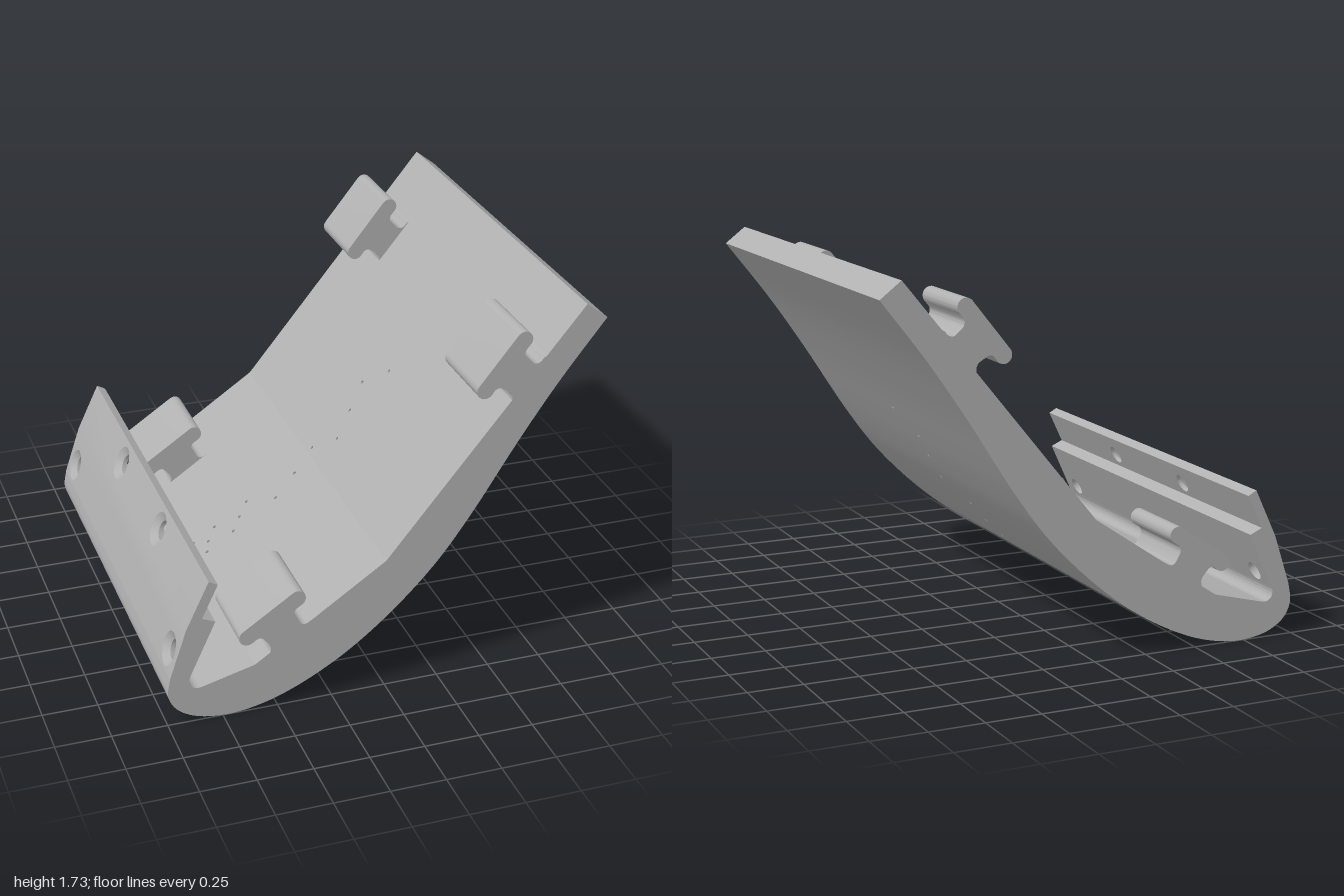
import * as THREE from 'three';
import { mergeGeometries, toCreasedNormals } from 'three/addons/utils/BufferGeometryUtils.js';

const V2 = (p) => new THREE.Vector2(p[0], p[1]);

// Circle of n points in a wall's own (s, z) plane
function circle(s, z, r, n, flip = 1) {
  return Array.from({ length: n }, (_, i) => {
    const t = (i / n) * Math.PI * 2;
    return new THREE.Vector2(s + flip * r * Math.cos(t), z + r * Math.sin(t));
  });
}

// Point on a wall: s runs along the profile edge, z along the width
const onWall = (w, s, z, depth = 0) => new THREE.Vector3(
  w.a.x + w.d.x * s - w.d.y * depth, w.a.y + w.d.y * s + w.d.x * depth, z);

// Nearest wall to p with room for a hole of radius r
function nearest(walls, p, r) {
  let best = null;
  for (const w of walls) {
    const m = r + 0.002;
    if (w.len < 2 * m) continue;
    const s = THREE.MathUtils.clamp(p.clone().sub(w.a).dot(w.d), m, w.len - m);
    const dist = w.a.clone().addScaledVector(w.d, s).distanceTo(p);
    if (!best || dist < best.dist) best = { w, s, dist };
  }
  return best;
}

// Inside wall of a hole, through successive rings
function boreGeometry(rings) {
  const pts = [];
  for (let k = 0; k + 1 < rings.length; k++) {
    const A = rings[k], B = rings[k + 1], n = A.length;
    for (let i = 0; i < n; i++) {
      const j = (i + 1) % n;
      pts.push(A[i], A[j], B[i], A[j], B[j], B[i]);
    }
  }
  return new THREE.BufferGeometry().setFromPoints(pts);
}

function bare(geometry) {
  const g = geometry.index ? geometry.toNonIndexed() : geometry;
  g.deleteAttribute('uv');
  g.deleteAttribute('normal');
  return g;
}

function cradleGeometry() {
  // Outer side: two lip facets, then a smooth sweep under and up the back
  const lip = [[-0.8, 0.686], [-0.905, 0.465]].map(V2);
  const sweep = new THREE.CatmullRomCurve3([
    [-0.982, 0.235], [-0.993, 0.15], [-0.962, 0.08], [-0.88, 0.025], [-0.733, 0], [-0.574, 0.021],
    [-0.415, 0.077], [-0.204, 0.193], [0.008, 0.357], [0.22, 0.57], [0.378, 0.78], [0.6, 1.124],
    [0.775, 1.378], [0.987, 1.653],
  ].map(([x, y]) => new THREE.Vector3(x, y, 0)), false, 'centripetal').getPoints(13 * 6);
  const outer = [...lip, ...sweep.map((p) => new THREE.Vector2(p.x, p.y))];

  // Inner side: plate, bend, floor, rounded corner and stepped lip
  const floor = [[0.89, 1.728], [0, 0.638], [-0.6, 0.23], [-0.84, 0.167]].map(V2);
  const corner = new THREE.CubicBezierCurve(
    V2([-0.84, 0.167]), V2([-0.885, 0.155]), V2([-0.91, 0.19]), V2([-0.892, 0.23])).getPoints(8).slice(1);
  const step = [[-0.775, 0.484], [-0.833, 0.51], [-0.76, 0.664]].map(V2);
  const profile = [...outer, ...floor, ...corner, ...step];

  const walls = profile.map((a, i) => {
    const b = profile[(i + 1) % profile.length];
    return { a, d: b.clone().sub(a).normalize(), len: a.distanceTo(b), holes: [] };
  });
  const outerWalls = walls.slice(0, outer.length - 1);
  const innerWalls = walls.slice(outer.length, -1);
  const parts = [];

  // Hole from the outer side to the inner side, optionally countersunk
  function drill(p, z, r, n, rim = r) {
    const o = nearest(outerWalls, p, rim), e = nearest(innerWalls, p, r);
    const start = circle(o.s, z, rim, n), end = circle(e.s, z, r, n, -1);
    o.w.holes.push(start);
    e.w.holes.push(end);
    const rings = [start.map((q) => onWall(o.w, q.x, q.y))];
    if (rim > r) rings.push(circle(o.s, z, r, n).map((q) => onWall(o.w, q.x, q.y, 0.025)));
    rings.push(end.map((q) => onWall(e.w, q.x, q.y)));
    parts.push(boreGeometry(rings));
  }

  // Four countersunk screw holes in the lip
  for (const side of [-1, 1]) {
    drill(V2([-0.845, 0.591]), side * 0.334, 0.045, 24, 0.08);
    drill(V2([-0.954, 0.318]), side * 0.889, 0.045, 24, 0.078);
  }

  // Three staggered rows of pinholes
  const rows = [
    [-0.065, [-0.67, -0.575, -0.47, -0.31, 0.02, 0.27]],
    [0, [-0.75, -0.605, -0.52, -0.365, -0.09, 0.185]],
    [0.065, [-0.635, -0.545, -0.415, -0.205, 0.1, 0.355]],
  ];
  for (const [z, xs] of rows) for (const x of xs) {
    const k = floor.findIndex((p) => p.x <= x);
    const a = floor[k], b = floor[k - 1];
    drill(a.clone().lerp(b, (x - a.x) / (b.x - a.x)), z, 0.009, 8);
  }

  // Walls along the profile
  for (const w of walls) {
    const shape = new THREE.Shape([[0, -1], [w.len, -1], [w.len, 1], [0, 1]].map(V2));
    shape.holes = w.holes.map((h) => new THREE.Path(h));
    const g = new THREE.ShapeGeometry(shape);
    const pos = g.attributes.position;
    for (let i = 0; i < pos.count; i++) {
      const v = onWall(w, pos.getX(i), pos.getY(i));
      pos.setXYZ(i, v.x, v.y, v.z);
    }
    parts.push(g);
  }

  // Flat ends
  const end = new THREE.ShapeGeometry(new THREE.Shape(profile));
  parts.push(end.clone().translate(0, 0, 1), end.clone().rotateY(Math.PI).scale(1, 1, 1));
  const back = parts[parts.length - 1].attributes.position;
  const front = end.toNonIndexed().attributes.position;
  const flipped = [];
  for (let i = 0; i < front.count; i += 3) for (const k of [0, 2, 1]) {
    flipped.push(new THREE.Vector3(front.getX(i + k), front.getY(i + k), -1));
  }
  if (back) parts[parts.length - 1] = new THREE.BufferGeometry().setFromPoints(flipped);

  return toCreasedNormals(mergeGeometries(parts.map(bare)), 0.2);
}

// T-shaped hook with rounded ends, its origin at the lower tip
function hookGeometry() {
  const s = new THREE.Shape();
  const a = THREE.MathUtils.degToRad(-56), b = THREE.MathUtils.degToRad(124);
  s.moveTo(-0.535, 0.265);
  s.lineTo(-0.32, 0.41);
  s.lineTo(-0.345, 0.405);
  s.quadraticCurveTo(-0.375, 0.38, -0.395, 0.402);
  s.lineTo(-0.415, 0.435);
  s.quadraticCurveTo(-0.428, 0.46, -0.408, 0.478);
  s.absarc(-0.405, 0.525, 0.038, a, b, false);
  s.absarc(-0.632, 0.373, 0.038, b, a + Math.PI * 2, false);
  s.lineTo(-0.592, 0.355);
  s.quadraticCurveTo(-0.572, 0.365, -0.558, 0.348);
  s.lineTo(-0.532, 0.318);
  s.quadraticCurveTo(-0.52, 0.295, -0.535, 0.27);
  const g = new THREE.ExtrudeGeometry(s, { depth: 0.365, bevelEnabled: false, curveSegments: 10 });
  return toCreasedNormals(g.translate(0.632, -0.373, 0), 0.6);
}

export function createModel() {
  const group = new THREE.Group();
  const grey = new THREE.MeshStandardMaterial({ color: 0xb0b0b0 });
  grey.name = 'grey';

  const cradle = new THREE.Mesh(cradleGeometry(), grey);
  cradle.name = 'curvedCradle';
  group.add(cradle);

  // Two hooks on the floor and two on the plate
  const hook = hookGeometry();
  for (const [name, x, y, turn] of [['lowerHook', -0.632, 0.373, 0], ['upperHook', 0.437, 1.389, 0.305]]) {
    for (const z of [-1, 0.635]) {
      const mesh = new THREE.Mesh(hook, grey);
      mesh.name = name + (z < 0 ? 'Back' : 'Front');
      mesh.position.set(x, y, z);
      mesh.rotation.z = turn;
      group.add(mesh);
    }
  }
  return group;
}
